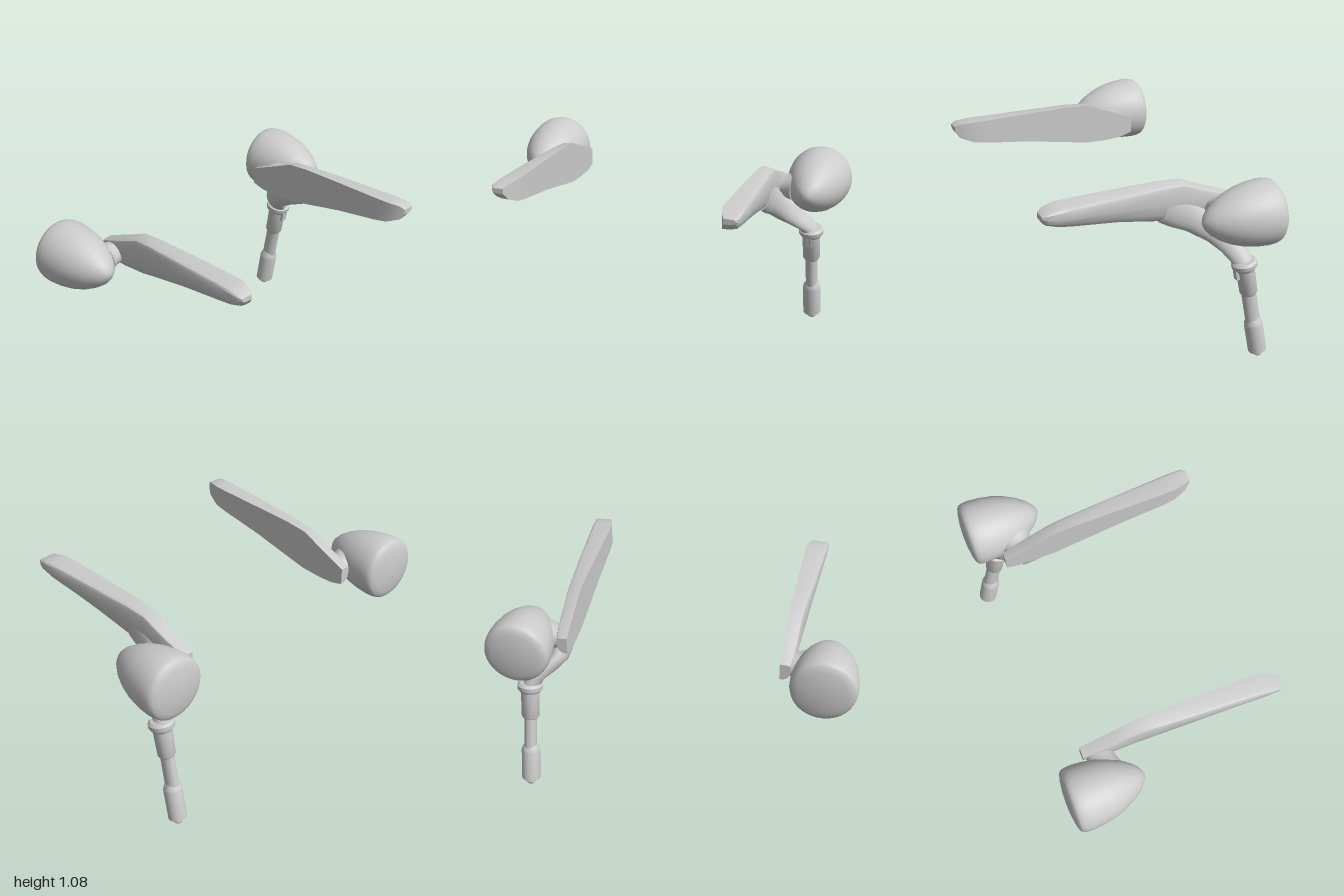
import * as THREE from 'three';
import { toCreasedNormals } from 'three/addons/utils/BufferGeometryUtils.js';

const material = new THREE.MeshStandardMaterial({ color: 0xcccccc });

// Closed skin through a list of equal-length rings of [x, y, z]
function loft(rings) {
  const n = rings[0].length, pos = rings.flat(2), idx = [];
  rings.slice(1).forEach((_, r) => {
    for (let i = 0; i < n; i++) {
      const a = r * n + i, b = r * n + (i + 1) % n;
      idx.push(a, b, b + n, a, b + n, a + n);
    }
  });
  // End caps as fans around the ring centres
  [0, rings.length - 1].forEach((r) => {
    const c = pos.length / 3;
    for (let k = 0; k < 3; k++) pos.push(rings[r].reduce((s, p) => s + p[k], 0) / n);
    for (let i = 0; i < n; i++) {
      const a = r * n + i, b = r * n + (i + 1) % n;
      idx.push(...(r ? [c, a, b] : [c, b, a]));
    }
  });
  const g = new THREE.BufferGeometry();
  g.setAttribute('position', new THREE.Float32BufferAttribute(pos, 3));
  g.setIndex(idx);
  return g;
}

// Turn every triangle outward, judged by the signed volume of the closed skin
function outward(geometry) {
  const g = geometry.index ? geometry.toNonIndexed() : geometry;
  const p = g.attributes.position;
  const [a, b, c] = [0, 1, 2].map(() => new THREE.Vector3());
  let volume = 0;
  for (let i = 0; i < p.count; i += 3) {
    a.fromBufferAttribute(p, i); b.fromBufferAttribute(p, i + 1); c.fromBufferAttribute(p, i + 2);
    volume += a.dot(b.cross(c));
  }
  if (volume < 0) {
    for (let i = 0; i < p.count; i += 3) {
      b.fromBufferAttribute(p, i + 1); c.fromBufferAttribute(p, i + 2);
      p.setXYZ(i + 1, c.x, c.y, c.z); p.setXYZ(i + 2, b.x, b.y, b.z);
    }
  }
  return g;
}

function addPart(group, name, geometry, side = 1, crease = 0.6) {
  geometry.scale(side, 1, 1);
  const mesh = new THREE.Mesh(toCreasedNormals(outward(geometry), crease), material);
  mesh.name = name;
  group.add(mesh);
}

const lathe = (points, segments = 32) =>
  new THREE.LatheGeometry(points.map(([r, y]) => new THREE.Vector2(r, y)), segments);

// Long tapering arm: flat inner face, rounded outer face
function armGeometry() {
  const section = [[0, 0], [0.4, 0.02], [0.7, 0.1], [0.9, 0.26], [1, 0.52], [1, 0.84],
    [0.93, 0.93], [0.75, 0.97], [0, 1]];
  // z, bottom, top, inner x, outer x
  const stations = [
    [0.64, 1.02, 1.05, 0.615, 0.68], [0.615, 0.985, 1.066, 0.6, 0.693],
    [0.54, 0.953, 1.075, 0.578, 0.692], [0.46, 0.938, 1.075, 0.575, 0.688],
    [0.2, 0.9, 1.075, 0.575, 0.676], [-0.05, 0.85, 1.073, 0.575, 0.66],
    [-0.18, 0.825, 1.063, 0.575, 0.652], [-0.3, 0.82, 1.01, 0.575, 0.648],
    [-0.4, 0.825, 0.97, 0.575, 0.642], [-0.47, 0.845, 0.94, 0.575, 0.632],
  ];
  return loft(stations.map(([z, y0, y1, x0, x1]) =>
    section.map(([u, v]) => [x0 + u * (x1 - x0), y0 + v * (y1 - y0), z])));
}

// Curved branch from the arm down to the collar
function branchGeometry() {
  // x, y, z, half width, half depth, lean of the section
  const stations = [
    [0.617, 0.94, -0.08, 0.038, 0.095, 1.2], [0.617, 0.89, -0.17, 0.042, 0.095, 1.05],
    [0.625, 0.835, -0.255, 0.046, 0.08, 0.9], [0.655, 0.745, -0.37, 0.05, 0.066, 0.75],
    [0.715, 0.69, -0.425, 0.05, 0.062, 0.6], [0.775, 0.64, -0.455, 0.048, 0.058, 0.4],
    [0.8, 0.59, -0.475, 0.05, 0.056, 0.2],
  ];
  return loft(stations.map(([x, y, z, w, d, lean]) => Array.from({ length: 20 }, (_, i) => {
    const t = i / 20 * Math.PI * 2, s = Math.sin(t) * d;
    return [x + Math.cos(t) * w, y - s * Math.sin(lean), z + s * Math.cos(lean)];
  })));
}

function createMirror(side) {
  const group = new THREE.Group();
  group.name = side > 0 ? 'leftUnit' : 'rightUnit';
  addPart(group, 'arm', armGeometry(), side);

  // Egg-shaped housing with a shallow domed rear
  const bulb = lathe([[0, 0.197], [0.022, 0.203], [0.045, 0.217], [0.075, 0.245], [0.11, 0.295],
    [0.14, 0.355], [0.162, 0.42], [0.175, 0.49], [0.18, 0.55], [0.178, 0.585], [0.172, 0.606],
    [0.16, 0.617], [0.13, 0.626], [0.07, 0.635], [0, 0.639]], 40);
  bulb.rotateX(-Math.PI / 2).translate(0.82, 0.9, 0);
  addPart(group, 'housing', bulb, side, 0.8);

  // Flared neck joining arm and housing
  const neck = lathe([[0, 0], [0.075, 0], [0.072, 0.03], [0.078, 0.06], [0.095, 0.1], [0, 0.12]]);
  neck.rotateZ(-Math.PI / 2).scale(1, 0.85, 1).translate(0.61, 0.893, -0.38);
  addPart(group, 'neck', neck, side);
  return group;
}

// Leaning stem, modelled downward from the collar
function createStem() {
  const stem = new THREE.Group();
  stem.name = 'stem';
  stem.position.set(0.8, 0.6, -0.473);
  stem.rotation.x = 0.197;
  addPart(stem, 'collar', lathe([[0, 0.022], [0.058, 0.022], [0.071, 0.01], [0.071, -0.01],
    [0.056, -0.032], [0, -0.032]]));
  addPart(stem, 'upperSleeve', lathe([[0, -0.02], [0.052, -0.02], [0.049, -0.18], [0.04, -0.195], [0, -0.195]], 24));
  addPart(stem, 'shaft', lathe([[0, -0.17], [0.034, -0.17], [0.034, -0.4], [0, -0.4]], 24).scale(1, 1, 1.25));
  addPart(stem, 'lowerSleeve', lathe([[0, -0.36], [0.036, -0.36], [0.049, -0.385], [0.052, -0.4],
    [0.051, -0.575], [0, -0.575]], 24));
  addPart(stem, 'endPin', lathe([[0, -0.56], [0.026, -0.56], [0.026, -0.6], [0.02, -0.608], [0, -0.608]], 16));
  addPart(stem, 'collarTab', new THREE.BoxGeometry(0.035, 0.07, 0.03).translate(0, -0.042, 0.05));
  return stem;
}

export function createModel() {
  const model = new THREE.Group();
  model.name = 'mirrorPair';
  const left = createMirror(1);
  addPart(left, 'branch', branchGeometry());
  left.add(createStem());
  model.add(left, createMirror(-1));
  return model;
}
